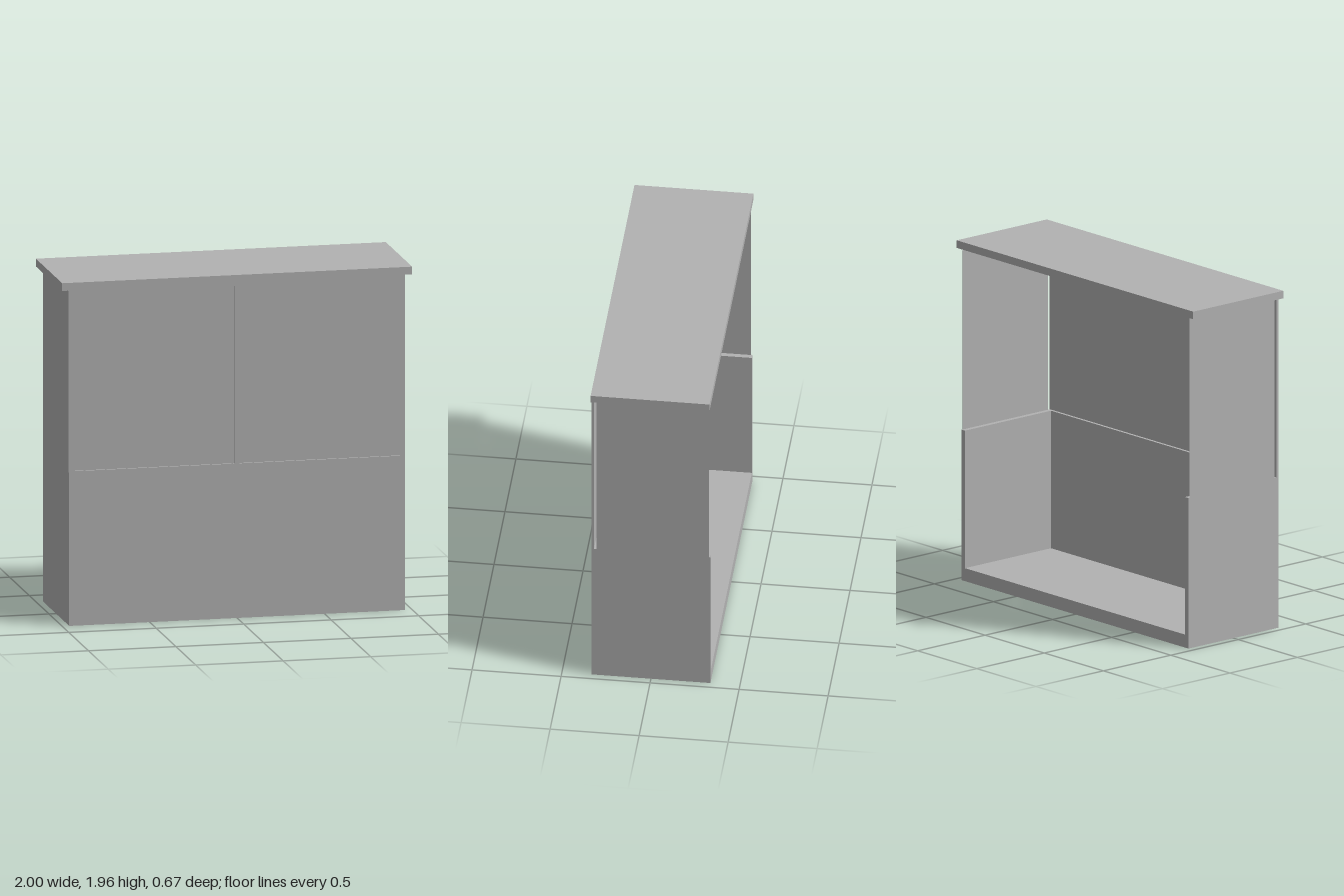
import * as THREE from 'three';

export function createModel() {
  const model = new THREE.Group();
  model.name = 'serviceCounter';

  const grey = new THREE.MeshStandardMaterial({ color: 0xb2b2b2 });
  grey.name = 'plain grey';

  // Box given by its lowest and highest corners
  const box = (name, [x0, y0, z0], [x1, y1, z1], parent = model) => {
    const mesh = new THREE.Mesh(new THREE.BoxGeometry(x1 - x0, y1 - y0, z1 - z0), grey);
    mesh.position.set((x0 + x1) / 2, (y0 + y1) / 2, (z0 + z1) / 2);
    mesh.name = name;
    parent.add(mesh);
    return mesh;
  };

  const W = 0.96, D = 0.334;          // half width and half depth of the body
  const wall = 0.03;                  // thickness of the lower walls
  const floorY = 0.075, sillY = 0.87; // floor top and top of the lower walls
  const roofY = 1.912, topY = 1.956;

  // Lower tray, open at the back
  box('floor', [-W, 0, -D], [W, floorY, D]);
  box('frontWall', [-W, floorY, D - wall], [W, sillY, D]);

  // Roof slab overhanging the sides
  box('roof', [-1, roofY, -D], [1, topY, D]);

  for (const side of [-1, 1]) {
    const label = side > 0 ? 'left' : 'right';
    const span = (a, b) => [Math.min(side * a, side * b), Math.max(side * a, side * b)];

    // Lower side wall
    const [wx0, wx1] = span(W - wall, W);
    box(label + 'LowerWall', [wx0, floorY, -D], [wx1, sillY, D - wall]);

    // Thin upper side sheet, just clear of the roof and the front panel
    const [sx0, sx1] = span(W - 0.003, W);
    box(label + 'UpperSheet', [sx0, sillY, -0.325], [sx1, 1.905, 0.305]);

    // Front frame with a rectangular opening
    const [fx0, fx1] = span(0, W);
    const [px0, px1] = span(0.0125, 0.9375);
    const py0 = 0.881, py1 = 1.895;
    const backZ = 0.32, paneZ = 0.323;
    const frame = new THREE.Shape([
      new THREE.Vector2(fx0, sillY), new THREE.Vector2(fx1, sillY),
      new THREE.Vector2(fx1, roofY), new THREE.Vector2(fx0, roofY),
    ]);
    frame.holes.push(new THREE.Path([
      new THREE.Vector2(px0, py0), new THREE.Vector2(px0, py1),
      new THREE.Vector2(px1, py1), new THREE.Vector2(px1, py0),
    ]));
    const frameMesh = new THREE.Mesh(
      new THREE.ExtrudeGeometry(frame, { depth: D - backZ, bevelEnabled: false }), grey);
    frameMesh.position.z = backZ;
    frameMesh.name = label + 'FrontFrame';
    model.add(frameMesh);

    // Recessed panel filling the opening, flush with the frame's back
    box(label + 'FrontPanel', [px0, py0, backZ], [px1, py1, paneZ]);
  }

  return model;
}
